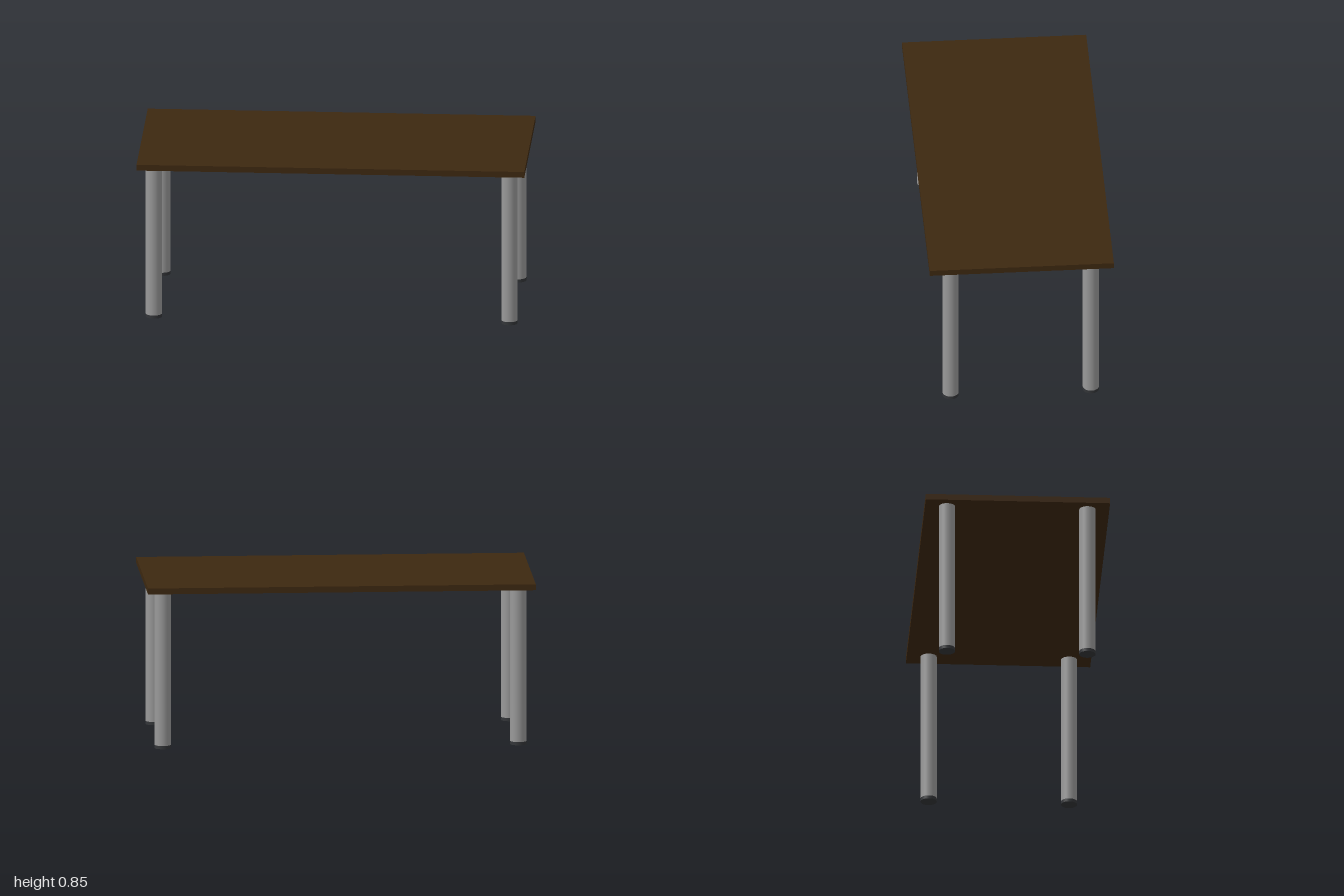
import * as THREE from 'three';

const TOP_Y = 0.853, UNDER_Y = 0.822, FOOT_H = 0.017;
const LEG_R = 0.042, LEG_X = 0.917, LEG_Z = 0.362;

function part(name, geometry, material, y) {
  const mesh = new THREE.Mesh(geometry, material);
  mesh.name = name;
  mesh.position.y = y;
  return mesh;
}

export function createModel() {
  const table = new THREE.Group();
  table.name = 'table';

  const wood = new THREE.MeshStandardMaterial({ color: 0x3d2810 });
  const metal = new THREE.MeshStandardMaterial({ color: 0x999999 });
  const rubber = new THREE.MeshStandardMaterial({ color: 0x333538 });

  // Flat rectangular top
  const slab = new THREE.BoxGeometry(2, TOP_Y - UNDER_Y, 0.95);
  table.add(part('tableTop', slab, wood, (TOP_Y + UNDER_Y) / 2));

  // Round legs with dark foot caps, one near each corner
  const tube = new THREE.CylinderGeometry(LEG_R, LEG_R, UNDER_Y - FOOT_H, 48);
  const cap = new THREE.CylinderGeometry(LEG_R, LEG_R, FOOT_H, 48);
  for (const [end, z] of [['front', LEG_Z], ['back', -LEG_Z]]) {
    for (const [side, x] of [['Left', LEG_X], ['Right', -LEG_X]]) {
      const leg = new THREE.Group();
      leg.name = `${end}${side}Leg`;
      leg.position.set(x, 0, z);
      leg.add(part('legTube', tube, metal, (UNDER_Y + FOOT_H) / 2));
      leg.add(part('footCap', cap, rubber, FOOT_H / 2));
      table.add(leg);
    }
  }
  return table;
}
